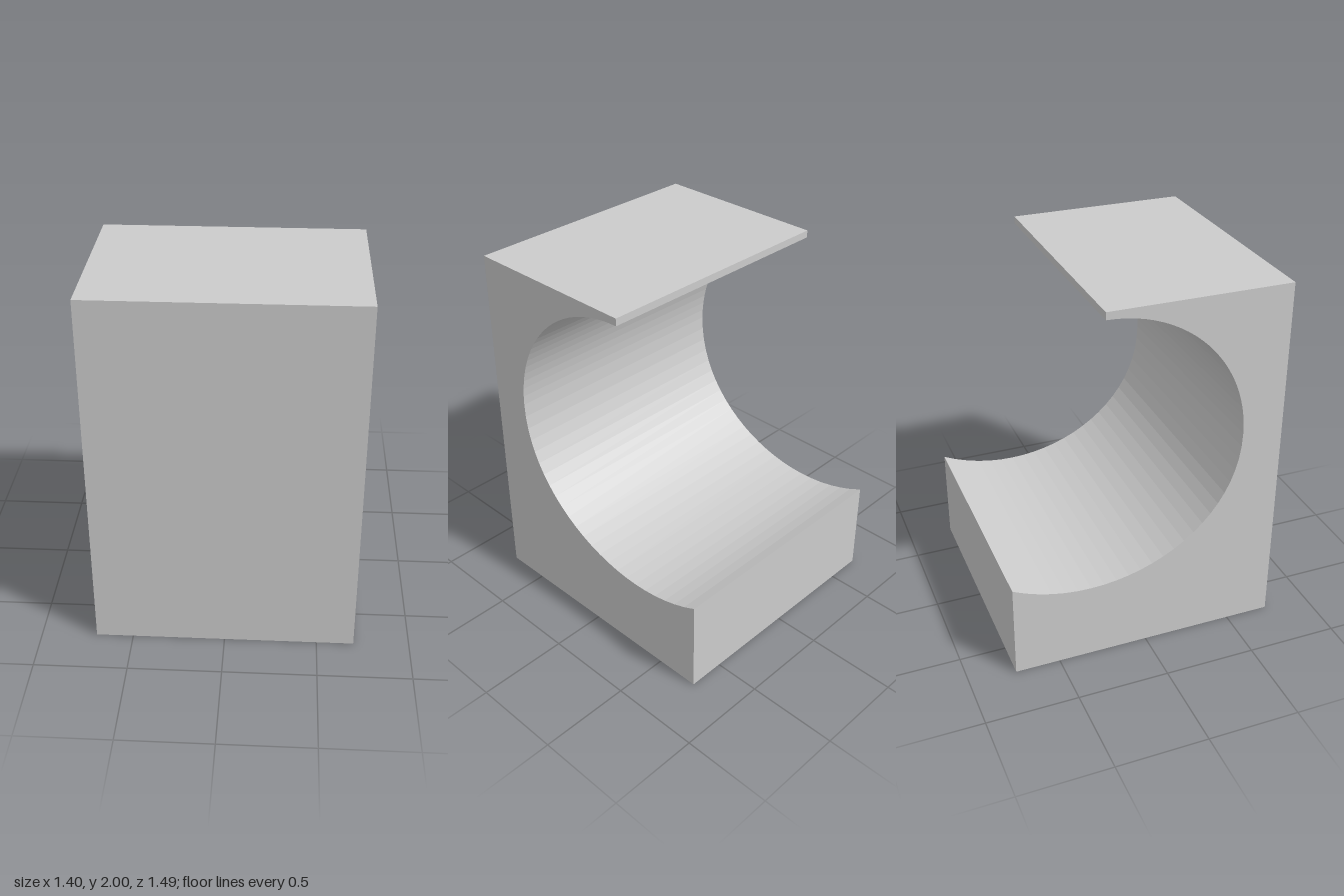
import * as THREE from 'three';

const WIDTH = 1.4;
const DEPTH = 0.745; // half depth
const HEIGHT = 2;

export function createModel() {
  const group = new THREE.Group();
  group.name = 'hollowedBlock';
  const material = new THREE.MeshStandardMaterial({ color: 0xcccccc, flatShading: true });

  // Side profile, drawn as (z, y): a block with a round hollow open to the back
  const profile = new THREE.Shape();
  profile.moveTo(-DEPTH, 0);
  profile.lineTo(DEPTH, 0);
  profile.lineTo(DEPTH, HEIGHT);
  profile.lineTo(-0.24, HEIGHT);
  profile.lineTo(-0.24, 1.96);
  // Upper quarter of the hollow, then the lower sweep rising to the back lip
  profile.bezierCurveTo(0.18, 1.96, 0.52, 1.62, 0.52, 1.2);
  profile.bezierCurveTo(0.52, 0.585, -0.2, 0.26, -DEPTH, 0.537);
  profile.closePath();

  // Extrude across the width, turning the profile to run along z
  const geometry = new THREE.ExtrudeGeometry(profile, {
    depth: WIDTH, bevelEnabled: false, curveSegments: 24,
  });
  geometry.translate(0, 0, -WIDTH / 2);
  geometry.rotateY(-Math.PI / 2);

  const body = new THREE.Mesh(geometry, material);
  body.name = 'body';
  group.add(body);
  return group;
}
